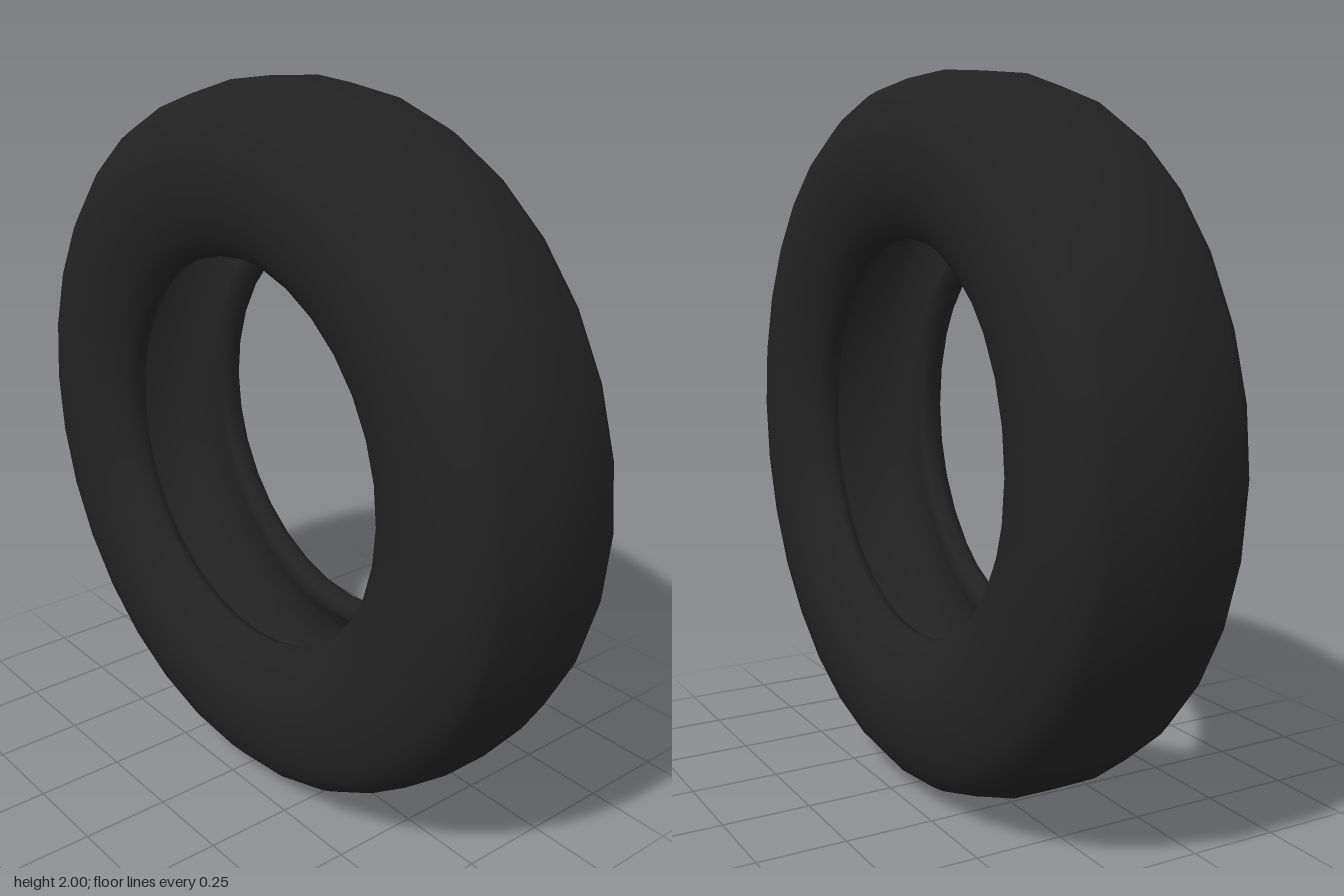
import * as THREE from 'three';

export function createModel() {
  const rubber = new THREE.MeshStandardMaterial({ color: 0x222222 });
  rubber.name = 'black rubber';

  // Half cross-section as [radius, offset]: tread, shoulder, sidewall, bead, hollow inside
  const half = [
    [1.0, 0.07], [0.972, 0.18], [0.955, 0.21], [0.91, 0.25], [0.83, 0.271],
    [0.75, 0.276], [0.68, 0.266], [0.61, 0.24], [0.568, 0.212], [0.55, 0.18],
    [0.562, 0.148], [0.6, 0.135], [0.625, 0.16], [0.66, 0.2], [0.74, 0.222],
    [0.83, 0.215], [0.9, 0.175], [0.93, 0.07],
  ];
  const mirrored = half.slice().reverse().map(([r, z]) => [r, -z]);
  const profile = [[1.0, 0], ...half, [0.935, 0], ...mirrored, [1.0, 0]]
    .map(([r, z]) => new THREE.Vector2(r, z));

  // Closed ring, axle along z
  const geometry = new THREE.LatheGeometry(profile, 32);
  geometry.rotateX(Math.PI / 2);
  geometry.translate(0, 1, 0);

  const tire = new THREE.Mesh(geometry, rubber);
  tire.name = 'tire';

  const model = new THREE.Group();
  model.name = 'wheelTire';
  model.add(tire);
  return model;
}
